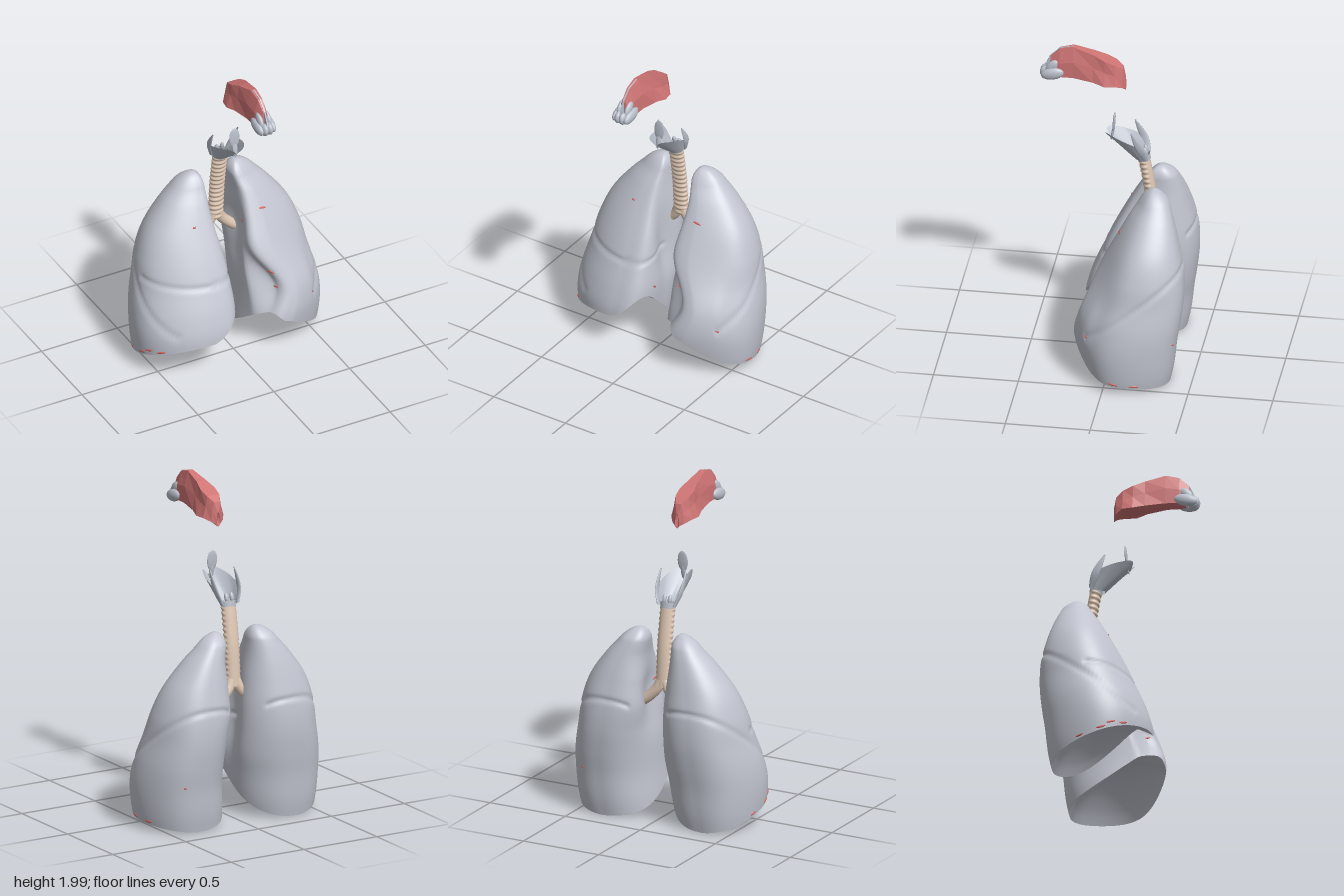
import * as THREE from 'three';

const mat = (name, color, open) => {
  const m = new THREE.MeshStandardMaterial({ color });
  m.name = name;
  if (open) m.side = THREE.DoubleSide;
  return m;
};
const V = (x, y, z) => new THREE.Vector3(x, y, z);
const bell = (v, c, w) => Math.exp(-(((v - c) / w) ** 2));

// Surface from fn(u, v), u around (optionally closed), v along
function grid(fn, nu, nv, closed, flip, flat) {
  const pos = [], idx = [], cols = closed ? nu : nu + 1;
  for (let j = 0; j <= nv; j++)
    for (let i = 0; i < cols; i++) pos.push(...fn(i / nu, j / nv).toArray());
  for (let j = 0; j < nv; j++)
    for (let i = 0; i < nu; i++) {
      const a = j * cols + i, b = j * cols + ((i + 1) % cols), c = a + cols, d = b + cols;
      if (flip) idx.push(a, c, b, b, c, d);
      else idx.push(a, b, c, b, d, c);
    }
  let g = new THREE.BufferGeometry();
  g.setAttribute('position', new THREE.Float32BufferAttribute(pos, 3));
  g.setIndex(idx);
  if (flat) g = g.toNonIndexed();
  g.computeVertexNormals();
  return g;
}

// Sweep of an oval along a downward path; size(a, t) gives the x and depth radii
function sweep(path, size, nu, nv) {
  return grid((u, t) => {
    const a = u * Math.PI * 2, [rx, rd] = size(a, t);
    const side = V(1, 0, 0), depth = side.clone().cross(path.getTangentAt(t)).normalize();
    return path.getPointAt(t).addScaledVector(side, rx * Math.cos(a)).addScaledVector(depth, -rd * Math.sin(a));
  }, nu, nv, true, false);
}

// Lung profile by height: outer x, front z, back z; inner x per side
const LEVELS = [0, 0.1, 0.27, 0.4, 0.55, 0.7, 0.85, 1.0, 1.1, 1.165];
const OUTER = [0.56, 0.58, 0.592, 0.58, 0.545, 0.515, 0.455, 0.345, 0.255, 0.215];
const FRONT = [0.16, 0.19, 0.205, 0.175, 0.115, 0.05, -0.025, -0.105, -0.165, -0.185];
const BACK = [-0.37, -0.39, -0.41, -0.43, -0.445, -0.44, -0.41, -0.37, -0.335, -0.305];
const INNER = {
  right: [0.09, 0.06, 0.03, 0.015, 0.02, 0.03, 0.05, 0.075, 0.085, 0.085],
  left: [0.07, 0.07, 0.08, 0.08, 0.07, 0.045, 0.06, 0.09, 0.085, 0.085],
};

function lungShape(side) {
  const left = side > 0;
  const inner = left ? INNER.left : INNER.right;
  const table = new THREE.CubicInterpolant(LEVELS, LEVELS.flatMap((_, i) => [inner[i], OUTER[i], FRONT[i], BACK[i]]), 4, new Float32Array(4));
  return (u, t) => {
    const a = u * Math.PI * 2, c = Math.cos(a), s = Math.sin(a), f = (s + 1) / 2;
    // The lower rim rises toward the front and the midline
    const rise = left ? f * f * (0.23 - 0.17 * c) : f ** 1.3 * (0.23 - 0.04 * c) + 0.26 * Math.max(-c, 0) * f * f;
    const rim = 0.008 + 0.03 * Math.abs(c) + rise;
    const y = 1.165 - (1.165 - rim) * t ** 1.7;
    const [xm, xo, zf, zb] = table.evaluate(y);
    const cap = y > 1.09 ? Math.sqrt(Math.max(0, 1 - ((y - 1.09) / 0.075) ** 2)) : 1;
    const cx = xm + 0.44 * (xo - xm);
    let x = cx + cap * (c > 0 ? (xo - cx) * c : -(cx - xm) * (-c) ** 0.6);
    // The back bulges outward, the front leans to the midline
    x -= 0.1 * (xo - xm) * cap * s * (1 - c * c);
    const trim = left && c > 0 && s > 0 ? 1 - 0.18 * c * s : 1;
    const z = (zf + zb) / 2 + ((zf - zb) / 2) * cap * s * trim;
    // Hollow at the root, and the notch for the heart
    const w = Math.max(0, (xo - x) / (xo - xm));
    x += left ? 0.08 * w * bell(z, -0.18, 0.14) * bell(y, 0.74, 0.19) : 0.05 * w * bell(z, -0.13, 0.09) * bell(y, 0.6, 0.27);
    if (left) x += 0.122 * w * bell(y, 0.44, 0.17) * THREE.MathUtils.smoothstep(z, zf - 0.15, zf - 0.06);
    // Fissure grooves
    let cut = c > -0.6 && s < 0.8 ? bell(y, 0.41 - 0.77 * z, 0.016) : 0;
    if (!left && s > 0.1) cut = Math.max(cut, bell(y, 0.575 + 0.03 * c * c, 0.014));
    cut *= 0.009;
    return V(side * (x - cut * c), y, z - cut * s);
  };
}

function makeLung(side, tissue, flecks) {
  const g = new THREE.Group();
  g.name = side > 0 ? 'leftLung' : 'rightLung';
  const shape = lungShape(side), flip = side < 0;
  const body = new THREE.Mesh(grid(shape, 96, 110, true, flip), tissue);
  body.name = 'lungBody';
  // Hollow underside that domes upward
  const under = (u, v) => {
    const p = shape(u, 1), k = 1 - v;
    return V(side * 0.31 + (p.x - side * 0.31) * k, p.y + (0.32 - p.y) * Math.sin((v * Math.PI) / 2) ** 0.85, -0.09 + (p.z + 0.09) * k);
  };
  const base = new THREE.Mesh(grid(under, 96, 14, true, flip), tissue);
  base.name = 'lungBase';
  g.add(body, base);
  // Small red flecks: around, down, length
  const spots = side > 0
    ? [[0.235, 0.473, 0.025], [0.14, 0.883, 0.025], [0.32, 0.82, 0.03], [0.35, 0.9, 0.02], [0.42, 0.57, 0.018], [0.02, 0.99, 0.03], [0.95, 0.99, 0.03], [0.8, 0.85, 0.01]]
    : [[0.22, 0.473, 0.01], [0.06, 0.98, 0.03], [0.1, 0.99, 0.03], [0.03, 0.99, 0.03], [0.96, 0.99, 0.025], [0.42, 0.95, 0.015]];
  for (const [u, t, len] of spots) {
    const p = shape(u, t), du = shape(u + 0.01, t).sub(p).normalize(), dt = shape(u, t - 0.01).sub(p).normalize();
    const n = du.clone().cross(dt).normalize();
    const m = new THREE.Mesh(new THREE.SphereGeometry(1, 10, 6), flecks);
    m.name = 'fleck';
    m.quaternion.setFromRotationMatrix(new THREE.Matrix4().makeBasis(du, n.clone().cross(du), n));
    m.scale.set(len, 0.006, 0.004);
    m.position.copy(p);
    g.add(m);
  }
  return g;
}

export function createModel() {
  const model = new THREE.Group();
  const tissue = mat('lung grey', 0xc2c5d0);
  const cartilage = mat('cartilage grey', 0xb9bfca, true);
  const tan = mat('airway tan', 0xdfc8b4);
  const red = mat('nasal red', 0xcf7474);
  const flecks = mat('fleck red', 0xd9605a);
  const add = (parent, name, geo, m) => {
    const mesh = new THREE.Mesh(geo, m);
    mesh.name = name;
    parent.add(mesh);
    return mesh;
  };
  const blob = (parent, name, m, p, s, tilt = 0) => {
    const b = add(parent, name, new THREE.SphereGeometry(1, 20, 14), m);
    b.position.set(...p);
    b.scale.set(...s);
    b.rotation.x = tilt;
  };

  model.add(makeLung(1, tissue, flecks), makeLung(-1, tissue, flecks));

  // Windpipe: rippled in front and at the sides, plain behind
  const airway = new THREE.Group();
  airway.name = 'airway';
  const path = new THREE.CatmullRomCurve3([V(0, 1.29, -0.165), V(0, 1.2, -0.182), V(0, 1.05, -0.205), V(0, 0.81, -0.222)]);
  const ripple = (a, t) => {
    const r = Math.sin(a) > -0.5 ? 0.006 * Math.sin(t * Math.PI * 15) ** 2 : 0.002;
    return [0.043 + r, 0.031 + r];
  };
  add(airway, 'windpipe', sweep(path, ripple, 24, 120), tan);
  for (const s of [-1, 1]) {
    const c = new THREE.CatmullRomCurve3([V(s * 0.012, 0.85, -0.22), V(s * 0.035, 0.8, -0.225), V(s * 0.09, 0.74, -0.23), V(s * 0.17, 0.68, -0.23)]);
    add(airway, 'bronchus', new THREE.TubeGeometry(c, 16, 0.032, 16), tan);
  }
  model.add(airway);

  // Voice box: open shield, horns, ring and leaf-shaped lid
  const larynx = new THREE.Group();
  larynx.name = 'larynx';
  const half = [
    [V(0, 1.41, 0.04), V(0.035, 1.455, 0.057), V(0.078, 1.435, -0.03), V(0.086, 1.395, -0.14)],
    [V(0, 1.29, -0.11), V(0.025, 1.285, -0.12), V(0.046, 1.285, -0.16), V(0.049, 1.295, -0.19)],
  ];
  const [topEdge, lowEdge] = half.map((r) => new THREE.CatmullRomCurve3(r));
  for (const s of [-1, 1]) {
    const plate = (u, v) => {
      const p = topEdge.getPoint(u).lerp(lowEdge.getPoint(u), v);
      p.x *= s;
      return p;
    };
    add(larynx, 'shieldPlate', grid(plate, 16, 8, false, s > 0), cartilage);
    const horn = new THREE.CatmullRomCurve3([V(s * 0.082, 1.488, -0.1), V(s * 0.084, 1.43, -0.128), V(s * 0.078, 1.37, -0.158), V(s * 0.052, 1.295, -0.185)]);
    add(larynx, 'horn', sweep(horn, (a, t) => [0.004 + 0.004 * t, 0.004 + 0.02 * Math.sin(t * 2.6)], 10, 16), cartilage);
    blob(larynx, 'backCartilage', cartilage, [s * 0.018, 1.335, -0.175], [0.013, 0.028, 0.013], 0.3);
  }
  const ring = add(larynx, 'ringCartilage', new THREE.CylinderGeometry(0.048, 0.046, 0.035, 24, 1, true), cartilage);
  ring.position.set(0, 1.295, -0.164);
  ring.rotation.x = 0.2;
  ring.scale.z = 0.8;
  blob(larynx, 'lid', cartilage, [0, 1.512, 0.012], [0.034, 0.063, 0.007], -0.06);
  blob(larynx, 'lidStem', cartilage, [0, 1.44, 0.02], [0.016, 0.05, 0.008], -0.2);
  model.add(larynx);

  // Nasal cavity: z, top y, bottom y, half widths at top, middle and bottom
  const nose = new THREE.Group();
  nose.name = 'nose';
  const cuts = [
    [-0.045, 1.8, 1.78, 0, 0, 0],
    [-0.058, 1.82, 1.735, 0.004, 0.012, 0.012],
    [-0.042, 1.88, 1.752, 0.02, 0.032, 0.04],
    [0, 1.91, 1.77, 0.042, 0.052, 0.07],
    [0.06, 1.935, 1.77, 0.048, 0.052, 0.078],
    [0.13, 1.965, 1.785, 0.032, 0.044, 0.06],
    [0.25, 2.0, 1.798, 0.018, 0.042, 0.046],
    [0.33, 1.98, 1.795, 0.014, 0.038, 0.042],
    [0.385, 1.925, 1.8, 0.01, 0.028, 0.032],
    [0.39, 1.87, 1.85, 0, 0, 0],
  ];
  const cavity = (u, v) => {
    const [z, t, b, wt, wm, wb] = cuts[Math.round(v * (cuts.length - 1))];
    const m = b + (t - b) * 0.55;
    const pts = [[wt, t], [wm, m], [wb, b + 0.012], [wb * 0.4, b], [-wb * 0.4, b], [-wb, b + 0.012], [-wm, m], [-wt, t]];
    const [x, y] = pts[Math.round(u * 8) % 8];
    return V(x, y, z);
  };
  add(nose, 'nasalCavity', grid(cavity, 8, cuts.length - 1, true, true, true), red);
  // Thin dividing wall along the ridge
  const wall = new THREE.Shape([[0.12, 1.955], [0.25, 2.0], [0.33, 1.983], [0.39, 1.925], [0.43, 1.84], [0.4, 1.79], [0.3, 1.81]].map(([z, y]) => new THREE.Vector2(-z, y)));
  const septum = add(nose, 'septum', new THREE.ExtrudeGeometry(wall, { depth: 0.008, bevelEnabled: false }), cartilage);
  septum.rotation.y = Math.PI / 2;
  septum.position.x = -0.004;
  for (const s of [-1, 1]) {
    blob(nose, 'sideCartilage', cartilage, [s * 0.026, 1.868, 0.372], [0.018, 0.03, 0.05], 0.8);
    blob(nose, 'nostrilWing', cartilage, [s * 0.04, 1.825, 0.37], [0.024, 0.037, 0.07], 0.22);
    blob(nose, 'tipCartilage', cartilage, [s * 0.015, 1.82, 0.41], [0.022, 0.04, 0.038], 0.3);
  }
  model.add(nose);
  return model;
}
